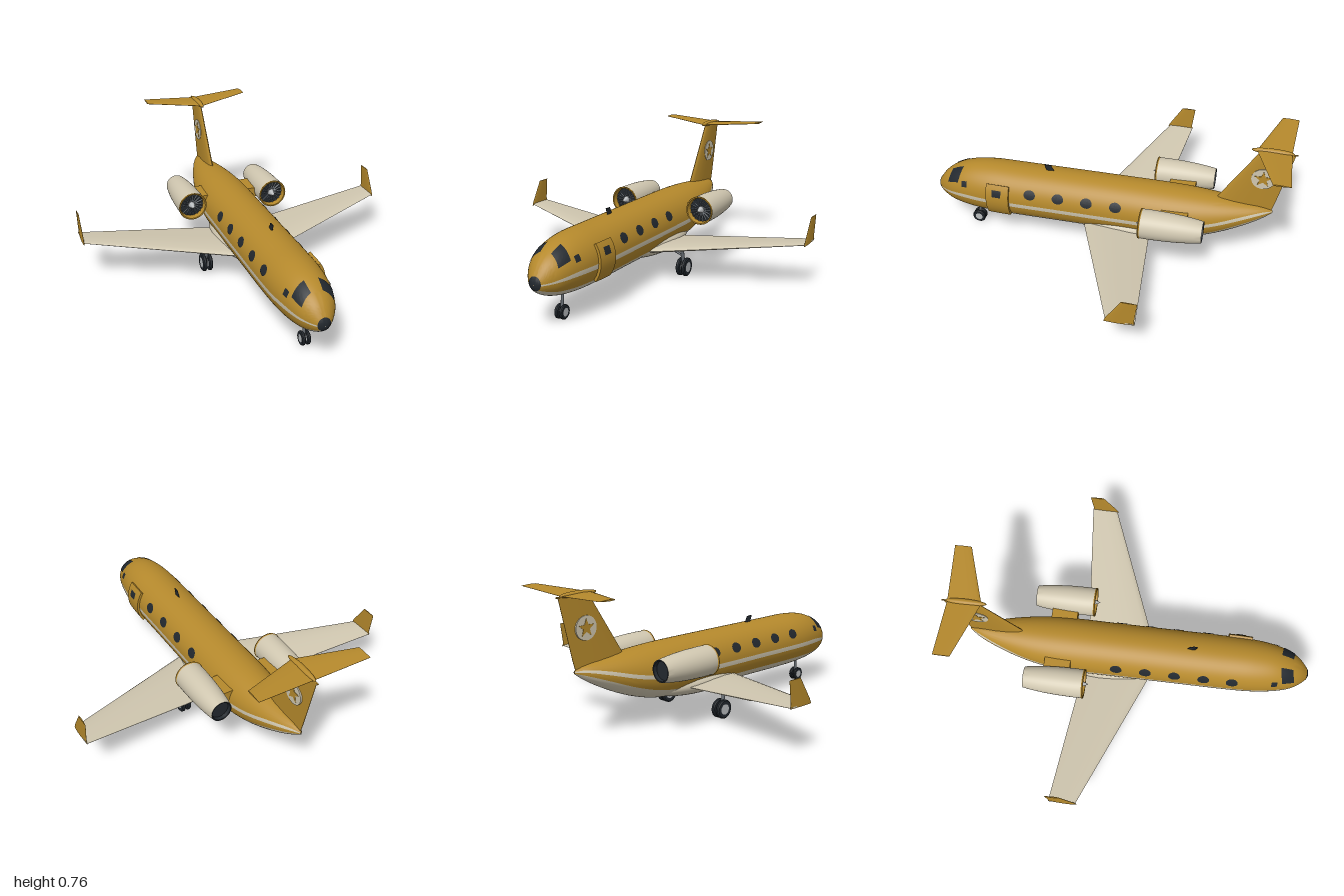
import * as THREE from 'three';
import { toCreasedNormals } from 'three/addons/utils/BufferGeometryUtils.js';

const paint = (name, color) => {
  const m = new THREE.MeshStandardMaterial({ color, side: THREE.DoubleSide });
  m.name = name;
  return m;
};

// Fuselage stations: z, half width, top, bottom, belly line, stripe bottom, stripe top
const STATIONS = [
  [1, 0, .242, .242, .225, .235, .242],
  [.98, .042, .292, .203, .212, .238, .246],
  [.95, .069, .332, .182, .202, .241, .251],
  [.9, .1, .372, .16, .192, .246, .262],
  [.8, .129, .414, .138, .186, .25, .274],
  [.68, .145, .43, .128, .185, .25, .275],
  [.5, .15, .431, .125, .185, .25, .275],
  [.3, .15, .431, .125, .185, .25, .275],
  [-.15, .15, .431, .125, .185, .25, .275],
  [-.33, .15, .43, .127, .188, .253, .278],
  [-.45, .144, .427, .142, .203, .265, .288],
  [-.6, .121, .418, .187, .245, .293, .314],
  [-.75, .08, .402, .255, .302, .333, .352],
  [-.86, .036, .386, .318, .342, .358, .37],
  [-.91, .004, .37, .354, .357, .362, .366],
];
const TAIL = -.91;
const toQ = z => Math.sqrt(Math.max(0, 1 - z)); // keeps the nose blunt and round
const spline = new THREE.CubicInterpolant(STATIONS.map(s => toQ(s[0])), STATIONS.flatMap(s => s.slice(1)), 6);

function section(z) {
  const [w, t, b, ...lines] = spline.evaluate(toQ(z));
  const cy = (t + b) / 2, h = Math.max((t - b) / 2, 1e-5);
  const angles = lines.map(y => Math.asin(THREE.MathUtils.clamp((y - cy) / h, -1, 1)));
  return { w: Math.max(w, 0), h, cy, angles };
}

// Point on the fuselage skin at station z and angle a, raised by off
function skin(z, a, off = 0) {
  const { w, h, cy } = section(z);
  return [(w + off) * Math.cos(a), cy + (h + off) * Math.sin(a), z];
}

// Surface from a rule f(u, v), with u and v in 0..1
function grid(f, nu, nv, flip = false, crease = .7) {
  const pos = [], idx = [];
  for (let i = 0; i <= nu; i++) for (let j = 0; j <= nv; j++) pos.push(...f(i / nu, j / nv));
  for (let i = 0; i < nu; i++) for (let j = 0; j < nv; j++) {
    const a = i * (nv + 1) + j, b = a + nv + 1;
    idx.push(...(flip ? [a, b + 1, b, a, a + 1, b + 1] : [a, b, b + 1, a, b + 1, a + 1]));
  }
  const g = new THREE.BufferGeometry();
  g.setAttribute('position', new THREE.Float32BufferAttribute(pos, 3));
  g.setIndex(idx);
  return toCreasedNormals(g, crease);
}

// Tapered aerofoil through sections [x, y, z of leading edge, chord, half thickness]
const HALF = [[0, 0], [.03, .45], [.1, .75], [.3, 1], [.55, .85], [1, .08]];
const FOIL = [...HALF, ...HALF.slice(1).reverse().map(([c, t]) => [c, -t]), [0, 0]];
function foil(sections, upright = false) {
  const all = [[...sections[0].slice(0, 4), 0], ...sections, [...sections.at(-1).slice(0, 4), 0]];
  return grid((u, v) => {
    const [x, y, z, chord, th] = all[Math.round(u * (all.length - 1))];
    const [c, t] = FOIL[Math.round(v * (FOIL.length - 1))];
    return upright ? [x + t * th, y, z - c * chord] : [x, y + t * th, z - c * chord];
  }, all.length - 1, FOIL.length - 1, upright);
}

const lathe = (pts, n = 40) =>
  toCreasedNormals(new THREE.LatheGeometry(pts.map(p => new THREE.Vector2(...p)), n), .7);

export function createModel() {
  const gold = paint('gold paint', 0xb5892c), cream = paint('cream paint', 0xd0c7b0);
  const dark = paint('dark glass and rubber', 0x22282e), grey = paint('grey metal', 0x666c72);
  const light = paint('light metal', 0xb9bcbe);
  const model = new THREE.Group();
  model.name = 'businessJet';
  const add = (name, geo, mat, parent = model) => {
    const m = new THREE.Mesh(geo, mat);
    m.name = name;
    parent.add(m);
    return m;
  };
  const bar = (name, a, b, r, mat = grey) => {
    const A = new THREE.Vector3(...a), B = new THREE.Vector3(...b), d = B.clone().sub(A);
    const m = add(name, new THREE.CylinderGeometry(r, r, d.length(), 12), mat);
    m.position.copy(A).add(B).multiplyScalar(.5);
    m.quaternion.setFromUnitVectors(new THREE.Vector3(0, 1, 0), d.normalize());
  };

  // Fuselage in painted bands
  const along = u => 1 - (u * toQ(TAIL)) ** 2;
  const band = (name, mat, lo, hi, nv, flip) => add(name, grid((u, v) => {
    const z = along(u), A = section(z).angles;
    return skin(z, lo(A) + (hi(A) - lo(A)) * v);
  }, 90, nv, flip), mat);
  band('upperFuselage', gold, A => A[2], A => Math.PI - A[2], 32);
  band('lowerFuselage', cream, A => -Math.PI - A[0], A => A[0], 24);
  for (const s of [1, -1]) {
    const side = a => s > 0 ? a : Math.PI - a;
    band('sideBand', gold, A => side(A[0]), A => side(A[1]), 5, s < 0);
    band('sideStripe', cream, A => side(A[1]), A => side(A[2]), 3, s < 0);
  }
  add('noseCap', grid((u, v) => skin(1 - .012 * u * u, v * Math.PI * 2, .0025), 6, 24), dark);

  // Windows follow the skin
  const oval = (name, s, z, y, rz, ry, off = .003) => {
    const { cy, h } = section(z);
    add(name, grid((u, v) => {
      const t = v * Math.PI * 2, a = Math.asin((y + u * ry * Math.sin(t) - cy) / h);
      const p = skin(z + u * rz * Math.cos(t), a, off);
      return [s * p[0], p[1], p[2]];
    }, 3, 24, s > 0), dark);
  };
  const patch = (name, s, z0, z1, a0, a1, off, mat, slant = 0) => add(name, grid((u, v) => {
    const p = skin(z1 + (z0 - z1) * u - slant * v, a0 + (a1 - a0) * v, off);
    return [s * p[0], p[1], p[2]];
  }, 8, 10, s < 0), mat);
  for (const s of [1, -1]) {
    for (const z of [-.075, .088, .25, .412]) oval('cabinWindow', s, z, .34, .033, .026);
    patch('windshield', s, .845, .915, .5, 1.27, .003, dark, .018);
    patch('cockpitSideWindow', s, .787, .82, .33, .58, .003, dark);
  }
  oval('cabinWindow', -1, .57, .34, .033, .026);

  // Entry door, standing slightly proud of the left side
  patch('doorPanel', 1, .532, .664, -.66, .62, .014, gold);
  const rim = [[.532, -.66], [.664, -.66], [.664, .62], [.532, .62], [.532, -.66]];
  add('doorEdge', grid((u, v) => {
    const k = Math.min(3, Math.floor(u * 4)), f = u * 4 - k;
    const at = i => rim[k][i] + (rim[k + 1][i] - rim[k][i]) * f;
    return skin(at(0), at(1), .014 * v);
  }, 40, 1), gold);
  patch('doorWindow', 1, .575, .627, .18, .43, .017, dark);

  // Belly fairing and antenna
  const fairing = add('bellyFairing', new THREE.SphereGeometry(1, 40, 24), cream);
  fairing.scale.set(.155, .074, .34);
  fairing.position.set(0, .184, -.12);
  add('antenna', foil([[0, .42, .345, .045, .004], [0, .465, .362, .04, .004]], true), dark);

  for (const s of [1, -1]) {
    // Wing, winglet and flap
    add('wing', foil([[s * .08, .178, .12, .37, .02], [s * .16, .185, .09, .36, .019],
      [s * .89, .253, -.2, .145, .006]]), cream);
    add('winglet', foil([[s * .887, .247, -.19, .155, .005], [s * .887, .27, -.2, .14, .005],
      [s * .889, .388, -.275, .08, .003]], true), gold);
    add('flap', foil([[s * .3, .184, -.15, .1, .004], [s * .58, .209, -.2, .08, .004]]), cream);

    // Engine
    const engine = new THREE.Group();
    engine.name = 'engine';
    engine.position.set(s * .245, .35, 0);
    engine.rotation.x = Math.PI / 2;
    model.add(engine);
    add('nacelle', lathe([[.058, -.57], [.065, -.53], [.073, -.46], [.078, -.38], [.08, -.29], [.079, -.243]]), cream, engine);
    add('intakeLip', lathe([[.079, -.245], [.082, -.239], [.08, -.234], [.073, -.235], [.068, -.27]]), gold, engine);
    add('fanDisc', lathe([[.07, -.268], [0, -.268]]), dark, engine);
    add('exhaust', lathe([[.058, -.57], [.052, -.569], [.049, -.55], [0, -.55]]), dark, engine);
    add('spinner', lathe([[.02, -.268], [.016, -.25], [.008, -.228], [0, -.212]], 20), light, engine);
    for (let i = 0; i < 18; i++) {
      const blade = new THREE.BoxGeometry(.048, .008, .003);
      blade.rotateX(.6).translate(.043, -.262, 0).rotateY(i * Math.PI / 9);
      add('fanBlade', blade, grey, engine);
    }
    add('pylon', new THREE.BoxGeometry(.07, .055, .145), gold).position.set(s * .15, .335, -.4);

    // Tailplane
    add('tailplane', foil([[0, .743, -.79, .18, .008], [s * .31, .76, -.895, .09, .004]]), gold);
  }

  // Fin with roundel, and the bullet on top
  add('fin', foil([[0, .36, -.575, .325, .017], [0, .42, -.612, .305, .016], [0, .738, -.81, .18, .011]], true), gold);
  const disc = add('finRoundel', new THREE.CylinderGeometry(.062, .062, .031, 40), cream);
  disc.rotation.z = Math.PI / 2;
  disc.position.set(0, .575, -.84);
  const star = new THREE.Shape(Array.from({ length: 10 }, (_, i) => {
    const r = i % 2 ? .02 : .048, a = Math.PI / 2 + i * Math.PI / 5;
    return new THREE.Vector2(r * Math.cos(a), r * Math.sin(a));
  }));
  const starGeo = new THREE.ExtrudeGeometry(star, { depth: .035, bevelEnabled: false });
  starGeo.translate(0, 0, -.0175).rotateY(Math.PI / 2);
  add('finStar', starGeo, gold).position.set(0, .575, -.84);
  const bullet = add('tailBullet', new THREE.SphereGeometry(1, 24, 16), gold);
  bullet.scale.set(.017, .016, .11);
  bullet.position.set(0, .745, -.872);
  bar('tailSpike', [0, .74, -.95], [0, .74, -1], .004, gold);

  // Landing gear
  const wheel = (x, y, z, R, w) => {
    const tyre = lathe([[.55, -.5], [.88, -.5], [1, -.25], [1, .25], [.88, .5], [.55, .5]].map(([r, h]) => [r * R, h * w]), 32);
    add('tyre', tyre.rotateZ(Math.PI / 2), dark).position.set(x, y, z);
    const hub = new THREE.CylinderGeometry(R * .6, R * .6, w * .9, 28).rotateZ(Math.PI / 2);
    add('wheelHub', hub, light).position.set(x, y, z);
  };
  for (const s of [1, -1]) {
    wheel(s * .014, .038, .775, .038, .018);
    wheel(s * .2, .052, -.11, .052, .022);
    wheel(s * .234, .052, -.11, .052, .022);
    bar('mainStrut', [s * .217, .052, -.11], [s * .217, .185, -.08], .01);
    bar('mainAxle', [s * .195, .052, -.11], [s * .24, .052, -.11], .008);
    bar('mainBrace', [s * .217, .12, -.095], [s * .13, .16, -.085], .006);
  }
  bar('noseStrut', [0, .038, .775], [0, .15, .765], .008);
  bar('noseAxle', [-.014, .038, .775], [.014, .038, .775], .006);
  return model;
}
